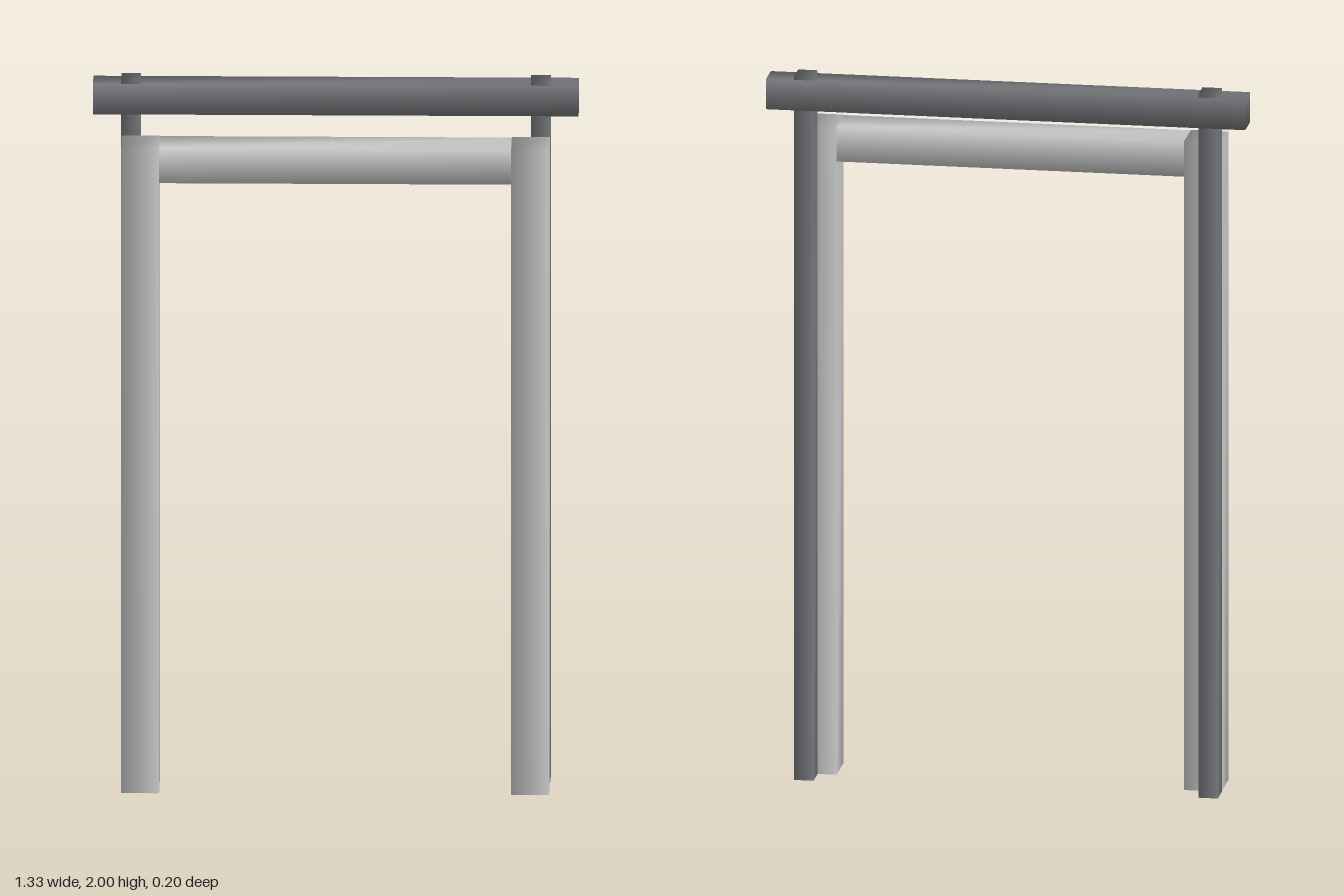
import * as THREE from 'three';
import { mergeVertices } from 'three/addons/utils/BufferGeometryUtils.js';

const stone = new THREE.MeshStandardMaterial({ color: 0xcccccc });
const dark = new THREE.MeshStandardMaterial({ color: 0x77787c });

// Box between two corners, with shared corners so the shading runs smoothly round the edges
function beam(name, material, [x0, y0, z0], [x1, y1, z1]) {
  let geometry = new THREE.BoxGeometry(x1 - x0, y1 - y0, z1 - z0);
  geometry.deleteAttribute('normal');
  geometry.deleteAttribute('uv');
  geometry = mergeVertices(geometry);
  geometry.computeVertexNormals();
  const mesh = new THREE.Mesh(geometry, material);
  mesh.name = name;
  mesh.position.set((x0 + x1) / 2, (y0 + y1) / 2, (z0 + z1) / 2);
  return mesh;
}

export function createModel() {
  const model = new THREE.Group();
  model.name = 'doorFrame';

  // Thick front posts and the slim back posts that carry the rail
  for (const [side, s] of [['left', 1], ['right', -1]]) {
    const post = beam(side + 'Post', stone, [0.482, 0, -0.022], [0.586, 1.843, 0.1]);
    const backPost = beam(side + 'BackPost', dark, [0.534, 0, -0.093], [0.588, 2, -0.022]);
    post.position.x *= s;
    backPost.position.x *= s;
    model.add(post, backPost);
  }

  // Lintel runs into the posts, a hair inside their faces
  model.add(beam('lintel', stone, [-0.585, 1.743, -0.021], [0.585, 1.842, 0.099]));

  // Top rail across the back posts
  model.add(beam('topRail', dark, [-0.665, 1.905, -0.1], [0.665, 1.99, -0.015]));

  return model;
}
